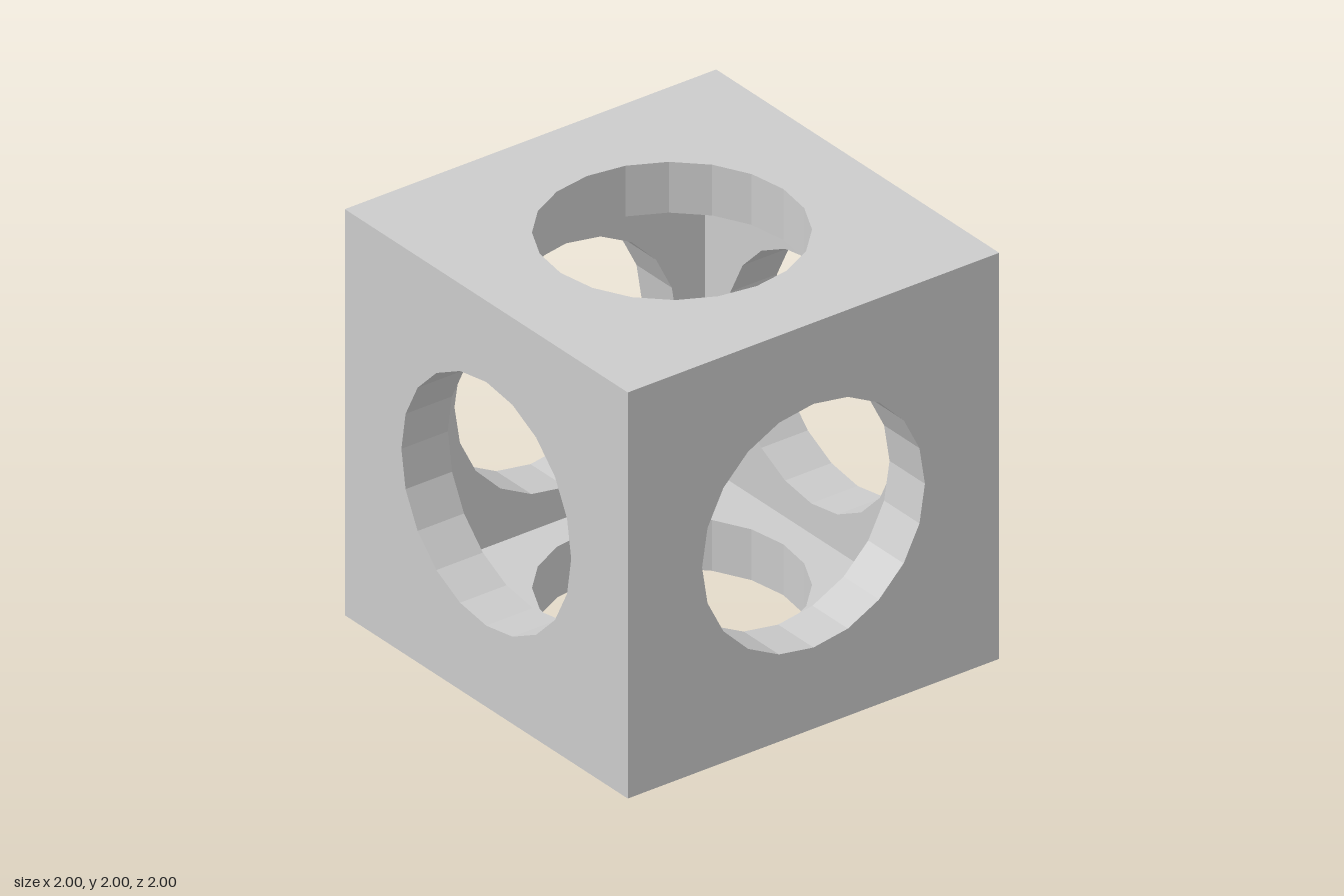
import * as THREE from 'three';
import { mergeGeometries } from 'three/addons/utils/BufferGeometryUtils.js';

const HALF = 1, INNER = 0.75, RADIUS = 0.6, SIDES = 20;

// Square sheet of the given half width with a 20-sided hole, facing +z
function sheet(half) {
  const shape = new THREE.Shape([[-half, -half], [half, -half], [half, half], [-half, half]]
    .map(([x, y]) => new THREE.Vector2(x, y)));
  const hole = [];
  for (let i = 0; i < SIDES; i++) {
    const a = -i / SIDES * Math.PI * 2;
    hole.push(new THREE.Vector2(RADIUS * Math.cos(a), RADIUS * Math.sin(a)));
  }
  shape.holes.push(new THREE.Path(hole));
  return new THREE.ShapeGeometry(shape).toNonIndexed();
}

// One wall: outer face, cavity face and the rim of the hole between them
function wallGeometry() {
  const outer = sheet(HALF).translate(0, 0, HALF);
  const inner = sheet(INNER).rotateY(Math.PI).translate(0, 0, INNER);
  // Mirroring turns the rim's faces inward
  const rim = new THREE.CylinderGeometry(RADIUS, RADIUS, HALF - INNER, SIDES, 1, true)
    .scale(-1, 1, 1).rotateX(Math.PI / 2).translate(0, 0, (HALF + INNER) / 2).toNonIndexed();
  const wall = mergeGeometries([outer, inner, rim]);
  wall.computeVertexNormals();
  return wall;
}

export function createModel() {
  const model = new THREE.Group();
  model.name = 'hollowCube';
  const material = new THREE.MeshStandardMaterial({ color: 0xcccccc, flatShading: true });
  const geometry = wallGeometry();
  const q = Math.PI / 2;

  // Six equal walls around the cavity
  const walls = [
    ['frontWall', 0, 0], ['leftWall', 0, q], ['backWall', 0, 2 * q],
    ['rightWall', 0, -q], ['topWall', -q, 0], ['bottomWall', q, 0],
  ];
  for (const [name, rx, ry] of walls) {
    const wall = new THREE.Mesh(geometry, material);
    wall.name = name;
    wall.rotation.set(rx, ry, 0);
    wall.position.y = HALF;
    model.add(wall);
  }
  return model;
}
